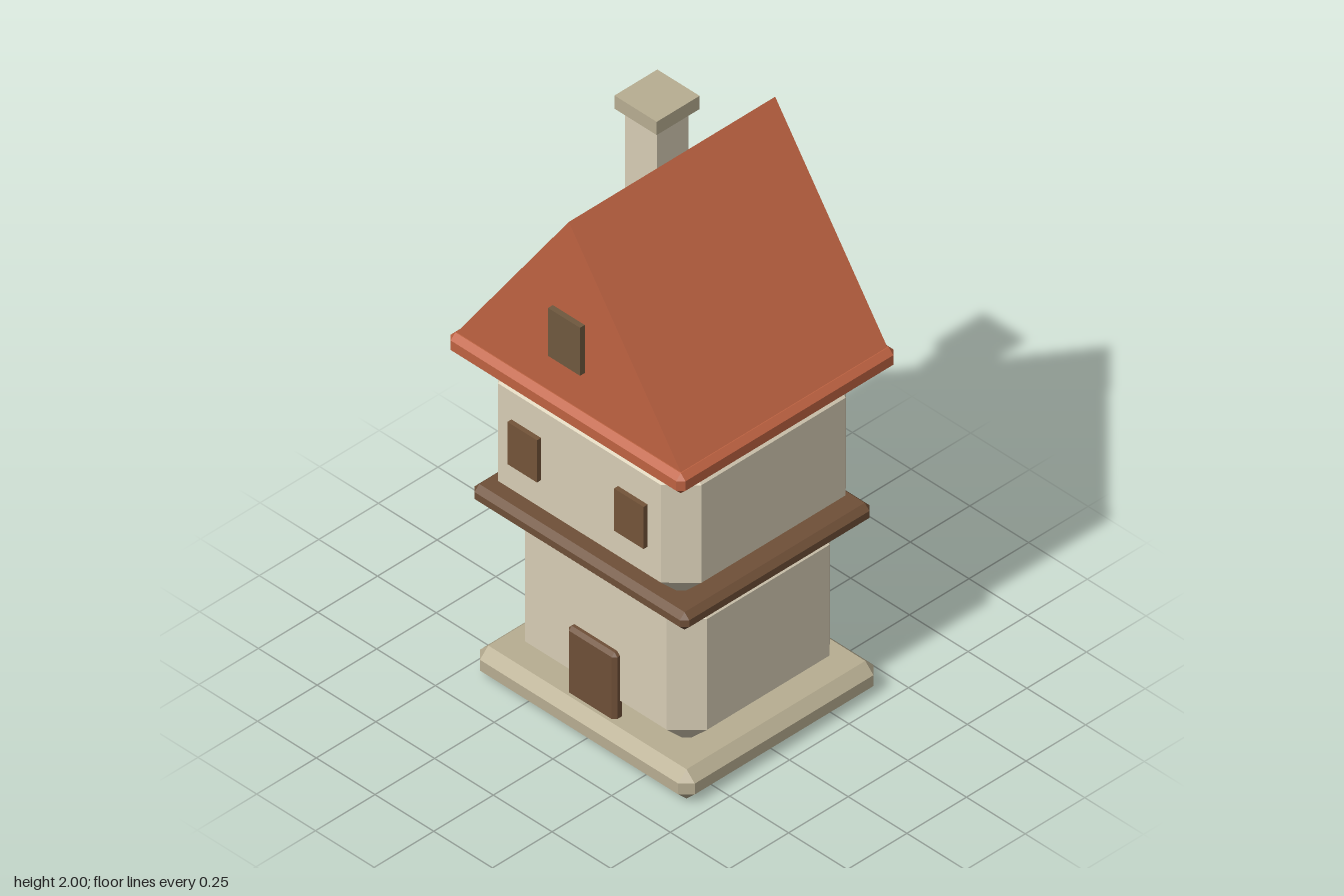
import * as THREE from 'three';
import { ConvexGeometry } from 'three/addons/geometries/ConvexGeometry.js';

const material = (name, color) => {
  const m = new THREE.MeshStandardMaterial({ color });
  m.name = name;
  return m;
};

// Box between two corners; every edge is cut by a flat chamfer.
function chamferBox([x0, y0, z0], [x1, y1, z1], c) {
  const half = [(x1 - x0) / 2, (y1 - y0) / 2, (z1 - z0) / 2];
  const points = [];
  for (const sx of [-1, 1]) for (const sy of [-1, 1]) for (const sz of [-1, 1])
    for (let outer = 0; outer < 3; outer++) {
      const [x, y, z] = half.map((h, axis) => (axis === outer ? h : h - c));
      points.push(new THREE.Vector3(sx * x, sy * y, sz * z));
    }
  return new ConvexGeometry(points).translate((x0 + x1) / 2, (y0 + y1) / 2, (z0 + z1) / 2);
}

// Plain box between two corners.
function plainBox([x0, y0, z0], [x1, y1, z1]) {
  return new THREE.BoxGeometry(x1 - x0, y1 - y0, z1 - z0)
    .translate((x0 + x1) / 2, (y0 + y1) / 2, (z0 + z1) / 2);
}

export function createModel() {
  const house = new THREE.Group();
  house.name = 'towerHouse';

  const plaster = material('plaster', 0xd8ceb6);
  const stone = material('stone', 0xb8ae92);
  const tile = material('roofTile', 0xbf6342);
  const timber = material('timber', 0x6f5038);
  const shutter = material('windowBrown', 0x745439);
  const atticBrown = material('atticBrown', 0x70593f);

  const add = (name, geometry, mat) => {
    const mesh = new THREE.Mesh(geometry, mat);
    mesh.name = name;
    house.add(mesh);
  };

  // Plinth and the two storeys with the timber band between them
  add('plinth', chamferBox([-0.457, 0.005, -0.43], [0.457, 0.116, 0.39], 0.035), stone);
  add('groundFloor', chamferBox([-0.387, 0.095, -0.365], [0.387, 0.685, 0.32], 0.085), plaster);
  add('floorBand', chamferBox([-0.457, 0.667, -0.398], [0.457, 0.733, 0.398], 0.02), timber);
  add('upperFloor', chamferBox([-0.432, 0.715, -0.388], [0.432, 1.255, 0.388], 0.085), plaster);

  // Door and windows
  add('door', chamferBox([-0.103, 0, 0.3], [0.103, 0.362, 0.343], 0.012), timber);
  for (const side of [-1, 1]) {
    const x = side * 0.227;
    add(side > 0 ? 'leftWindow' : 'rightWindow',
      plainBox([x - 0.063, 0.905, 0.38], [x + 0.063, 1.065, 0.405]), shutter);
  }
  add('atticWindow', plainBox([-0.068, 1.465, 0.42], [0.068, 1.647, 0.453]), atticBrown);

  // Eaves slab and gabled roof
  add('eaves', chamferBox([-0.5, 1.24, -0.456], [0.5, 1.316, 0.456], 0.02), tile);
  const gable = new THREE.Shape([
    new THREE.Vector2(-0.485, 1.305),
    new THREE.Vector2(0.485, 1.305),
    new THREE.Vector2(0, 2),
  ]);
  add('roof', new THREE.ExtrudeGeometry(gable, { depth: 0.866, bevelEnabled: false })
    .translate(0, 0, -0.433), tile);

  // Chimney
  add('chimneyStack', plainBox([-0.365, 1.35, -0.297], [-0.23, 1.9, -0.163]), plaster);
  add('chimneyCap', plainBox([-0.387, 1.9, -0.32], [-0.207, 1.95, -0.14]), stone);

  return house;
}
